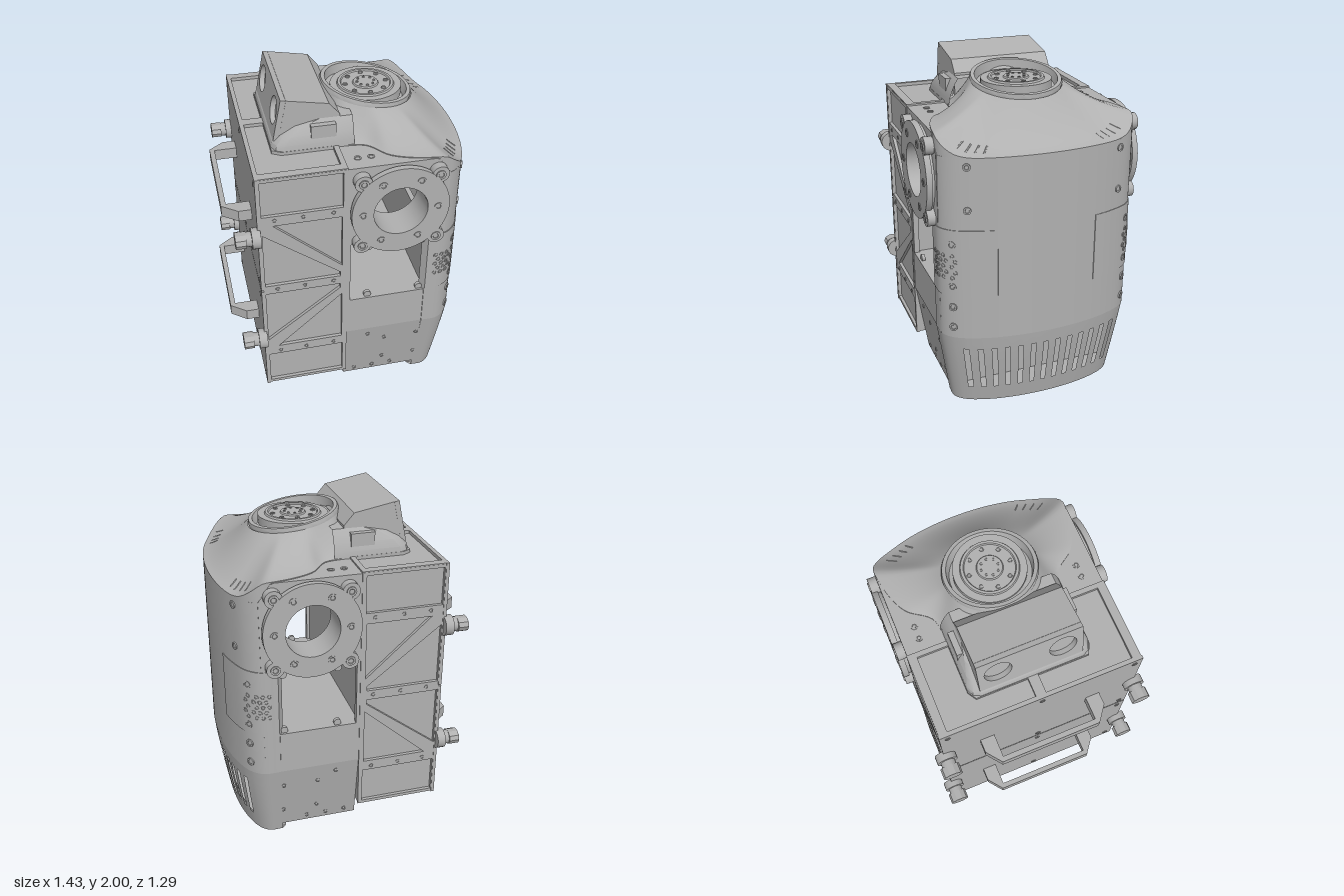
import * as THREE from 'three';
import { toCreasedNormals } from 'three/addons/utils/BufferGeometryUtils.js';

const grey = new THREE.MeshStandardMaterial({ color: 0xb0b0b0, side: THREE.DoubleSide });
grey.name = 'machined grey';

const V = (x, y, z) => new THREE.Vector3(x, y, z);
const X = V(1, 0, 0), Y = V(0, 1, 0), Z = V(0, 0, 1);

export function createModel() {
  const model = new THREE.Group();
  model.name = 'torso';
  const add = (name, geo, parent = model) => {
    const m = new THREE.Mesh(toCreasedNormals(geo, 0.6), grey);
    m.name = name;
    parent.add(m);
    return m;
  };
  const box = (name, x0, x1, y0, y1, z0, z1, parent) =>
    add(name, new THREE.BoxGeometry(x1 - x0, y1 - y0, z1 - z0)
      .translate((x0 + x1) / 2, (y0 + y1) / 2, (z0 + z1) / 2), parent);
  const path = pts => pts.map(p => new THREE.Vector2(...p));
  const rect = (x0, x1, y0, y1) => path([[x0, y0], [x1, y0], [x1, y1], [x0, y1]]);
  const circle = (cx, cy, r, n = 48) => Array.from({ length: n }, (_, i) =>
    new THREE.Vector2(cx + r * Math.cos(i / n * 2 * Math.PI), cy + r * Math.sin(i / n * 2 * Math.PI)));
  // outline in x, y pushed out along z
  const slab = (outline, holes, z0, z1) => {
    const s = new THREE.Shape(outline);
    holes.forEach(h => s.holes.push(new THREE.Path(h)));
    return new THREE.ExtrudeGeometry(s, { depth: z1 - z0, bevelEnabled: false }).translate(0, 0, z0);
  };
  // outline in x, z pushed up along y
  const plan = (outline, holes, y0, y1) => {
    const flip = a => a.map(p => new THREE.Vector2(p.x, -p.y));
    return slab(flip(outline), holes.map(flip), y0, y1).rotateX(-Math.PI / 2);
  };
  const aim = (mesh, p, dir) => {
    mesh.position.copy(p);
    mesh.quaternion.setFromUnitVectors(Y, dir);
    return mesh;
  };
  const rod = (name, p, dir, r, h, parent, n = 20) =>
    aim(add(name, new THREE.CylinderGeometry(r, r, h, n), parent), p, dir);
  // low socket screw standing on a surface
  const bolt = (p, dir, parent = model, r = 0.02) => aim(add('bolt', new THREE.LatheGeometry(
    path([[r, -0.004], [r, 0.004], [r * 0.6, 0.004], [r * 0.5, 0.001], [0, 0.001]]), 16), parent), p, dir);
  // surface through rings of points, leaving out the quads that skip() names
  const loft = (rings, skip = () => false) => {
    const n = rings[0].length, idx = [];
    for (let j = 0; j < rings.length - 1; j++) for (let i = 0; i < n - 1; i++) {
      const a = j * n + i, b = a + n;
      if (!skip(i, j)) idx.push(a, a + 1, b, a + 1, b + 1, b);
    }
    const g = new THREE.BufferGeometry().setFromPoints(rings.flat());
    g.setIndex(idx);
    g.computeVertexNormals();
    return g;
  };
  const mirrored = half => {
    const pts = half.map(p => V(p[0], 0, p[1]));
    return [...pts, ...pts.slice(0, -1).reverse().map(p => V(p.x, 0, -p.z))];
  };

  // Curved chest shell
  const chestPts = new THREE.CatmullRomCurve3(mirrored(
    [[0.43, 0.59], [0.53, 0.585], [0.6, 0.53], [0.66, 0.4], [0.7, 0.22], [0.715, 0]])).getSpacedPoints(80);
  const offset = (pts, d) => pts.map(p => new THREE.Vector2(p.x + d * 0.7, p.z * (1 + d * 1.6)));
  const wall = (pts, outer, inner, y0, y1) =>
    plan([...offset(pts, outer), ...offset(pts, inner).reverse()], [], y0, y1);
  add('chestShell', wall(chestPts, 0, -0.035, 0.5, 1.6));
  for (const s of [1, -1])
    add('servicePanel', wall(chestPts.filter(p => p.z * s > 0.28), 0.004, -0.01, 0.77, 1.18));
  box('innerWall', 0.43, 0.46, 0.5, 1.18, -0.56, 0.56);
  box('bayFloor', -0.05, 0.45, 0.73, 0.76, -0.57, 0.57);

  // Sloping collar from the chest up to the neck ring
  const tilt = 0.17, neck = V(0.19, 1.89, 0);
  const rim = new THREE.CatmullRomCurve3(mirrored([[-0.1, 0], [-0.08, 0.33], [0.1, 0.38], [0.2, 0.5],
    [0.3, 0.55], [0.43, 0.58], [0.53, 0.583], [0.6, 0.53], [0.66, 0.4], [0.7, 0.22], [0.715, 0]]));
  const collarAt = (u, t) => {
    const b = rim.getPointAt(u), a = Math.atan2(b.z, b.x - neck.x);
    const c = V(neck.x + 0.265 * Math.cos(a), 0, 0.265 * Math.sin(a));
    const y0 = 1.6 + 0.11 * (1 - THREE.MathUtils.smoothstep(b.x, 0.48, 0.66));
    const y1 = neck.y - 0.02 - (c.x - neck.x) * tilt;
    const p = b.lerp(c, t);
    p.y = y0 + (y1 - y0) * Math.pow(t, 1.4);
    return p;
  };
  const collar = Array.from({ length: 13 }, (_, j) =>
    Array.from({ length: 121 }, (_, i) => collarAt(i / 120, j / 12)));
  collar.unshift(collar[0].map(p => V(p.x, 1.59, p.z)));
  add('collar', loft(collar));
  for (const s of [1, -1]) for (let i = 0; i < 4; i++) {
    const u = 0.5 + s * (0.115 + i * 0.016);
    const c = new THREE.CatmullRomCurve3([0.12, 0.2, 0.28].map(t => collarAt(u, t).add(V(0, -0.003, 0))));
    add('collarVent', new THREE.TubeGeometry(c, 6, 0.006, 6));
  }

  // Tilted neck rim around a level hub
  const neckRim = add('neckRim', new THREE.LatheGeometry(path([[0.262, -0.05], [0.268, -0.01], [0.262, 0.005],
    [0.24, 0.005], [0.228, -0.05], [0, -0.05]]), 64));
  neckRim.position.copy(neck);
  neckRim.rotation.z = -tilt;
  const hub = new THREE.Group();
  hub.name = 'neckHub';
  hub.position.set(0.19, 1.895, 0);
  model.add(hub);
  add('hubDisc', new THREE.LatheGeometry(path([[0.205, -0.06], [0.205, -0.01], [0.165, -0.01], [0.16, 0],
    [0.145, 0], [0.14, -0.008], [0.075, -0.008], [0.07, 0], [0, 0]]), 64), hub);
  for (let i = 0; i < 8; i++) {
    const a = i * Math.PI / 4;
    bolt(V(0.12 * Math.cos(a), -0.006, 0.12 * Math.sin(a)), Y, hub, 0.014);
    bolt(V(0.05 * Math.cos(a), 0.001, 0.05 * Math.sin(a)), Y, hub, 0.008);
  }

  // Sensor head and its rounded housing
  const housingRing = (x0, z, y) => [[0.04, z], [x0 + 0.06, z], [x0 + 0.02, z - 0.02], [x0, z - 0.06],
    [x0, 0.06 - z], [x0 + 0.02, 0.02 - z], [x0 + 0.06, -z], [0.04, -z]].map(p => V(p[0], y, p[1]));
  add('headHousing', loft([housingRing(-0.42, 0.36, 1.7), housingRing(-0.41, 0.355, 1.745), housingRing(-0.37, 0.34, 1.79),
    housingRing(-0.3, 0.32, 1.835), housingRing(-0.2, 0.3, 1.865), housingRing(-0.06, 0, 1.87)]));
  for (const s of [1, -1]) box('housingBlock', -0.2, -0.06, 1.74, 1.845, s * 0.325 - 0.022, s * 0.325 + 0.022);
  add('sensorHead', slab(path([[-0.375, 1.75], [-0.325, 1.994], [-0.09, 1.95], [-0.03, 1.88], [-0.03, 1.75]]), [], -0.3, 0.3));
  add('sensorFace', slab(rect(-0.3, 0.3, 0, 0.248), [circle(-0.185, 0.13, 0.078), circle(0.185, 0.13, 0.078)], 0, 0.03)
    .rotateY(-Math.PI / 2).rotateZ(-0.2).translate(-0.375, 1.75, 0));

  // Backpack core, back covers and top frame
  box('packCore', -0.54, -0.05, 0.175, 1.695, -0.572, 0.572);
  for (const [y0, y1] of [[0.165, 0.935], [0.945, 1.715]]) {
    box('packCover', -0.555, -0.535, y0, y1, -0.595, 0.595);
    for (const y of [y0 + 0.05, y1 - 0.05]) for (const z of [-0.55, 0, 0.55])
      bolt(V(-0.555, y, z), V(-1, 0, 0), model, 0.016);
  }
  const L = s => path([[-0.53, s * 0.03], [-0.42, s * 0.03], [-0.42, s * 0.33], [-0.37, s * 0.36],
    [-0.08, s * 0.36], [-0.08, s * 0.54], [-0.53, s * 0.54]]);
  add('packTopFrame', plan(rect(-0.54, -0.05, -0.59, 0.59), [L(1), L(-1)], 1.695, 1.715));
  box('deck', -0.05, 0.45, 1.685, 1.705, -0.588, 0.588);

  // Handles and side plugs on the back
  for (const y of [0.56, 1.33]) {
    add('handle', plan(path([[-0.55, -0.37], [-0.63, -0.37], [-0.72, -0.3], [-0.72, 0.3], [-0.63, 0.37], [-0.55, 0.37],
      [-0.55, 0.285], [-0.69, 0.285], [-0.69, -0.285], [-0.55, -0.285]]), [], y - 0.035, y + 0.035));
    for (const z of [-0.585, 0.585]) {
      const plug = new THREE.Group();
      plug.name = 'plug';
      plug.position.set(0, y, z);
      model.add(plug);
      rod('plugFlange', V(-0.565, 0, 0), X, 0.06, 0.05, plug);
      rod('plugNeck', V(-0.605, 0, 0), X, 0.042, 0.04, plug);
      rod('plugKnob', V(-0.65, 0, 0), X, 0.056, 0.06, plug, 10).scale.x = 0.8;
    }
  }

  // One side: truss frame, bay wall, shoulder ring; mirrored for the other
  const side = new THREE.Group();
  side.name = 'leftSide';
  const upper = [rect(-0.53, -0.075, 1.465, 1.69), path([[-0.47, 1.4], [-0.08, 1.4], [-0.08, 1.05]]),
    path([[-0.53, 1.34], [-0.53, 0.97], [-0.09, 0.97], [-0.09, 1.0]])];
  const lower = upper.map(h => h.map(p => new THREE.Vector2(p.x, 1.88 - p.y)));
  add('trussFrame', slab(rect(-0.54, -0.05, 0.17, 1.71), [...upper, ...lower], 0.572, 0.592), side);
  for (const y of [0.44, 0.94, 1.435]) for (const x of [-0.46, -0.3, -0.13]) bolt(V(x, y, 0.592), Z, side, 0.013);
  add('bayWall', slab(path([[-0.05, 0.5], [0.52, 0.5], [0.53, 1.6], [0.46, 1.7], [-0.05, 1.7]]),
    [rect(-0.03, 0.43, 0.76, 1.185), circle(0.24, 1.42, 0.165)], 0.555, 0.588), side);
  for (const [x, y] of [[0.08, 0.775], [0.4, 0.775], [0.08, 1.14], [0.4, 1.14]]) rod('bayLug', V(x, y, 0.565), Z, 0.022, 0.02, side);
  add('shoulderBore', slab(circle(0.24, 1.42, 0.18, 64), [circle(0.24, 1.42, 0.155)], 0.44, 0.6), side);
  add('shoulderBase', slab(circle(0.24, 1.42, 0.265, 64), [circle(0.24, 1.42, 0.155)], 0.52, 0.615), side);
  add('shoulderRing', slab(circle(0.24, 1.42, 0.28, 64), [circle(0.24, 1.42, 0.155)], 0.605, 0.64), side);
  for (const sx of [1, -1]) for (const sy of [1, -1]) {
    const p = V(0.24 + sx * 0.215, 1.42 + sy * 0.21, 0.61);
    rod('shoulderEar', p, Z, 0.05, 0.055, side);
    bolt(p.clone().setZ(0.64), Z, side, 0.028);
  }
  for (let i = 0; i < 6; i++) {
    const a = i * Math.PI / 3;
    bolt(V(0.24 + 0.215 * Math.cos(a), 1.42 + 0.215 * Math.sin(a), 0.64), Z, side, 0.024);
  }
  for (const x of [0.025, 0.1]) bolt(V(x, 1.705, 0.49), Y, side);
  for (const x of [-0.18, -0.075]) bolt(V(x, 1.715, 0.335), Y, side);
  // fittings lying on the curved flank
  const onChest = (x, y) => {
    const i = Math.max(1, chestPts.findIndex(p => p.x >= x));
    const d = chestPts[i + 1].clone().sub(chestPts[i - 1]).normalize();
    const n = V(-d.z, 0, d.x);
    return [chestPts[i].clone().setY(y).addScaledVector(n, 0.003), n];
  };
  for (let r = 0; r < 5; r++) for (let c = 0; c < 4; c++)
    bolt(...onChest(0.485 + c * 0.034 + (r % 2) * 0.017, 0.885 + r * 0.034), side, 0.014);
  for (const y of [0.57, 0.7, 0.83, 1.09]) bolt(...onChest(0.585, y), side, 0.024);
  for (const y of [1.3, 1.55]) bolt(...onChest(0.64, y), side, 0.022);
  // small fasteners on the lower block
  for (const [x, y] of [[0.02, 0.1], [0.14, 0.1], [0.26, 0.1], [0.2, 0.18], [0.2, 0.38], [0.41, 0.18], [0.41, 0.38], [0.09, 0.44]])
    bolt(V(x, y, 0.586 - (0.5 - y) * 0.156), Z, side, 0.013);
  const other = side.clone();
  other.name = 'rightSide';
  other.scale.z = -1;
  model.add(side, other);

  // Tapered lower block and slotted skirt
  add('lowerBlock', slab(path([[-0.585, 0.5], [0.585, 0.5], [0.516, 0.06], [-0.516, 0.06]]), [], -0.05, 0.43).rotateY(Math.PI / 2));
  const skirtAt = (p, t) => V(p.x - 0.075 * Math.pow(t, 1.2) * (p.x - 0.34) / 0.375, 0.5 - 0.48 * t, p.z * (1 - 0.127 * t));
  const chestAtZ = z => {
    const i = chestPts.findIndex(p => p.z <= z), a = chestPts[i - 1], b = chestPts[i];
    return a.clone().lerp(b, (a.z - z) / (a.z - b.z));
  };
  const flank = chestPts.filter(p => p.z > 0.52);
  const columns = [...flank];
  for (let i = 6; i >= -6; i--) columns.push(chestAtZ(i * 0.08 + 0.015), chestAtZ(i * 0.08 - 0.015));
  columns.push(...chestPts.filter(p => p.z < -0.52));
  const rings = [0, 0.17, 0.4, 0.6, 0.78, 1].map(t => columns.map(p => skirtAt(p, t)));
  rings.push(rings[5].map(p => V(p.x - 0.025, 0.02, p.z * 0.95)), rings[5].map(p => V(p.x - 0.025, 0.06, p.z * 0.95)),
    rings[5].map(() => V(0.43, 0.06, 0)));
  add('skirt', loft(rings, (i, j) => {
    const k = i - flank.length;
    return j > 0 && j < 4 && k >= 0 && k < 26 && k % 2 === 0;
  }));

  // Base plate and waist bearing
  add('basePlate', plan(path([[-0.26, -0.22], [-0.16, -0.32], [0.3, -0.32], [0.4, -0.22], [0.4, 0.22], [0.3, 0.32], [-0.16, 0.32], [-0.26, 0.22]]),
    [rect(-0.19, -0.12, -0.18, 0.18)], 0.025, 0.075));
  box('basePlateStep', -0.11, -0.04, 0.07, 0.1, -0.26, 0.26);
  add('waistBearing', new THREE.LatheGeometry(path([[0.24, 0.03], [0.24, 0.004], [0.235, 0], [0.19, 0], [0.185, 0.012],
    [0.13, 0.012], [0.125, 0], [0.05, 0], [0.045, 0.025], [0, 0.025]]), 56)).position.x = 0.18;
  for (let i = 0; i < 8; i++) {
    const a = i * Math.PI / 4;
    bolt(V(0.18 + 0.157 * Math.cos(a), 0.01, 0.157 * Math.sin(a)), V(0, -1, 0), model, 0.014);
  }
  return model;
}
